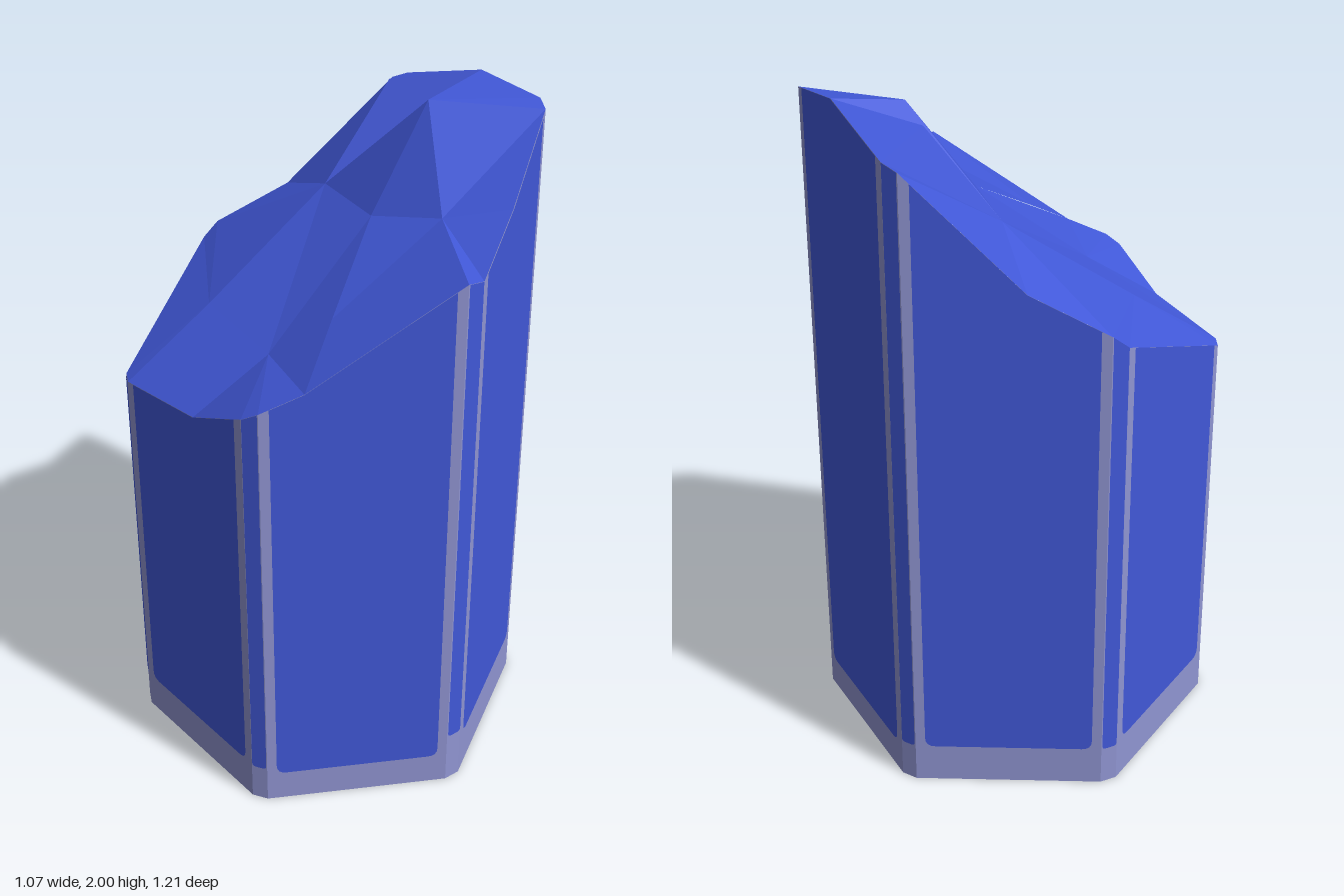
import * as THREE from 'three';

// Rim points, counter-clockwise from the front: x, z, height, and whether it is a wall corner
const RIM = [
  [-0.025, 0.603, 1.335, 1], [0.025, 0.603, 1.36, 1], [0.133, 0.541, 1.41, 0],
  [0.505, 0.327, 1.695, 1], [0.533, 0.283, 1.69, 1], [0.533, 0.02, 1.785, 0],
  [0.533, -0.283, 1.965, 1], [0.505, -0.327, 1.98, 1], [0.30, -0.445, 2.0, 0],
  [0.025, -0.603, 1.91, 1], [-0.025, -0.603, 1.89, 1], [-0.31, -0.439, 1.565, 0],
  [-0.505, -0.327, 1.45, 1], [-0.533, -0.283, 1.41, 1], [-0.533, 0.283, 1.21, 1],
  [-0.505, 0.327, 1.21, 1], [-0.22, 0.491, 1.24, 0],
];

// Peaks and dips inside the broken top
const INNER = {
  A: [-0.105, -0.235, 1.67], B: [0.034, -0.40, 1.955], C: [0.205, -0.24, 1.965],
  D: [0.11, -0.035, 1.68], E: [0.34, 0.035, 1.735], G: [0.123, 0.31, 1.52],
  H: [-0.06, 0.325, 1.385], I: [-0.34, 0.105, 1.39],
};

// Facets of the top, each drawn as a fan from its first point
const FACETS = [
  ['H', 16, 0], ['H', 0, 1, 2], ['H', 15, 16],
  ['D', 'A', 'H'], ['D', 'H', 2], ['D', 2, 'G'], ['A', 'I', 'H'], ['I', 15, 'H'],
  ['G', 2, 3], ['E', 'D', 'G'], ['E', 'G', 3], ['E', 3, 4, 5],
  ['E', 5, 6], ['C', 'E', 6, 7], ['C', 'D', 'E'], ['A', 'D', 'C'],
  ['C', 7, 8], ['A', 'C', 8], ['A', 8, 'B'], ['B', 8, 9],
  ['A', 'B', 9, 10], ['A', 10, 11], ['A', 11, 12], ['A', 12, 'I'],
  ['I', 12, 13], ['I', 13, 14, 15],
];

function facetGeometry() {
  const point = (k) => {
    const [x, z, y] = typeof k === 'string' ? INNER[k] : RIM[k];
    return new THREE.Vector3(x, y, z);
  };
  const pos = [];
  for (const facet of FACETS) {
    const p = facet.map(point);
    for (let i = 1; i < p.length - 1; i++) {
      let [a, b, c] = [p[0], p[i], p[i + 1]];
      const n = b.clone().sub(a).cross(c.clone().sub(a));
      if (n.y < 0) [b, c] = [c, b];
      for (const v of [a, b, c]) pos.push(v.x, v.y, v.z);
    }
  }
  const geo = new THREE.BufferGeometry();
  geo.setAttribute('position', new THREE.Float32BufferAttribute(pos, 3));
  geo.computeVertexNormals();
  return geo;
}

// Flat wall piece: inset from the sides, raised from the floor, with rounded lower corners
function wallGeometry(profile, inset, base, radius) {
  const len = profile[profile.length - 1][0];
  const heightAt = (u) => {
    let i = 1;
    while (i < profile.length - 1 && profile[i][0] < u) i++;
    const [[u0, h0], [u1, h1]] = [profile[i - 1], profile[i]];
    return h0 + (h1 - h0) * (u - u0) / (u1 - u0);
  };
  const l = inset, r = len - inset;
  const s = new THREE.Shape();
  s.moveTo(l + radius, base);
  s.lineTo(r - radius, base);
  if (radius) s.quadraticCurveTo(r, base, r, base + radius);
  s.lineTo(r, heightAt(r));
  for (const [u, h] of profile.slice(1, -1).reverse()) s.lineTo(u, h);
  s.lineTo(l, heightAt(l));
  if (radius) {
    s.lineTo(l, base + radius);
    s.quadraticCurveTo(l, base, l + radius, base);
  }
  return new THREE.ShapeGeometry(s, 4);
}

export function createModel() {
  const blue = new THREE.MeshStandardMaterial({ color: 0x4158d8, flatShading: true });
  blue.name = 'crystalBlue';
  const pale = new THREE.MeshStandardMaterial({ color: 0x9095d2, flatShading: true });
  pale.name = 'paleEdge';

  const model = new THREE.Group();
  model.name = 'crystal';
  const add = (name, geo, mat, parent = model) => {
    const mesh = new THREE.Mesh(geo, mat);
    mesh.name = name;
    parent.add(mesh);
    return mesh;
  };

  add('brokenTop', facetGeometry(), blue);

  // Walls: narrow corner bevels alternate with wide sides, all pale with a blue panel on top
  const corners = RIM.map((p, i) => i).filter((i) => RIM[i][3]);
  const bases = [0.12, 0.10, 0.17, 0.14, 0.17, 0.10, 0.12, 0.12, 0.12, 0.13, 0.12, 0.125];
  corners.forEach((start, k) => {
    const end = k + 1 < corners.length ? corners[k + 1] : RIM.length;
    const [x0, z0] = RIM[start];
    const profile = [];
    for (let i = start; i <= end; i++) {
      const [x, z, h] = RIM[i % RIM.length];
      profile.push([Math.hypot(x - x0, z - z0), h]);
    }
    const [x1, z1] = RIM[end % RIM.length];
    const along = new THREE.Vector3(x1 - x0, 0, z1 - z0).normalize();
    const up = new THREE.Vector3(0, 1, 0);
    const out = along.clone().cross(up);
    const wall = new THREE.Group();
    const bevel = k % 2 === 0;
    wall.name = bevel ? 'cornerBevel' : 'side';
    wall.applyMatrix4(new THREE.Matrix4().makeBasis(along, up, out).setPosition(x0, 0, z0));
    model.add(wall);
    add('paleWall', wallGeometry(profile, 0, 0, 0), pale, wall);
    const panel = wallGeometry(profile, bevel ? 0.002 : 0.029, bases[k], bevel ? 0.012 : 0.03);
    add('bluePanel', panel, blue, wall).position.z = 0.002;
  });

  // Underside: pale floor with a blue plate that leaves the corners showing
  const outline = corners.map((i) => new THREE.Vector2(RIM[i][0], -RIM[i][1]));
  const plate = outline.map((p, k) => {
    const n = outline.length;
    const next = outline[(k % 2 ? k + 1 : k + n - 1) % n];
    return p.clone().lerp(next, 0.1);
  });
  for (const [name, pts, mat, y] of [['floor', outline, pale, 0.002], ['floorPlate', plate, blue, 0]]) {
    const geo = new THREE.ShapeGeometry(new THREE.Shape(pts.map((p) => new THREE.Vector2(p.x, -p.y))));
    const mesh = add(name, geo, mat);
    mesh.rotation.x = Math.PI / 2;
    mesh.position.y = y;
  }
  return model;
}
